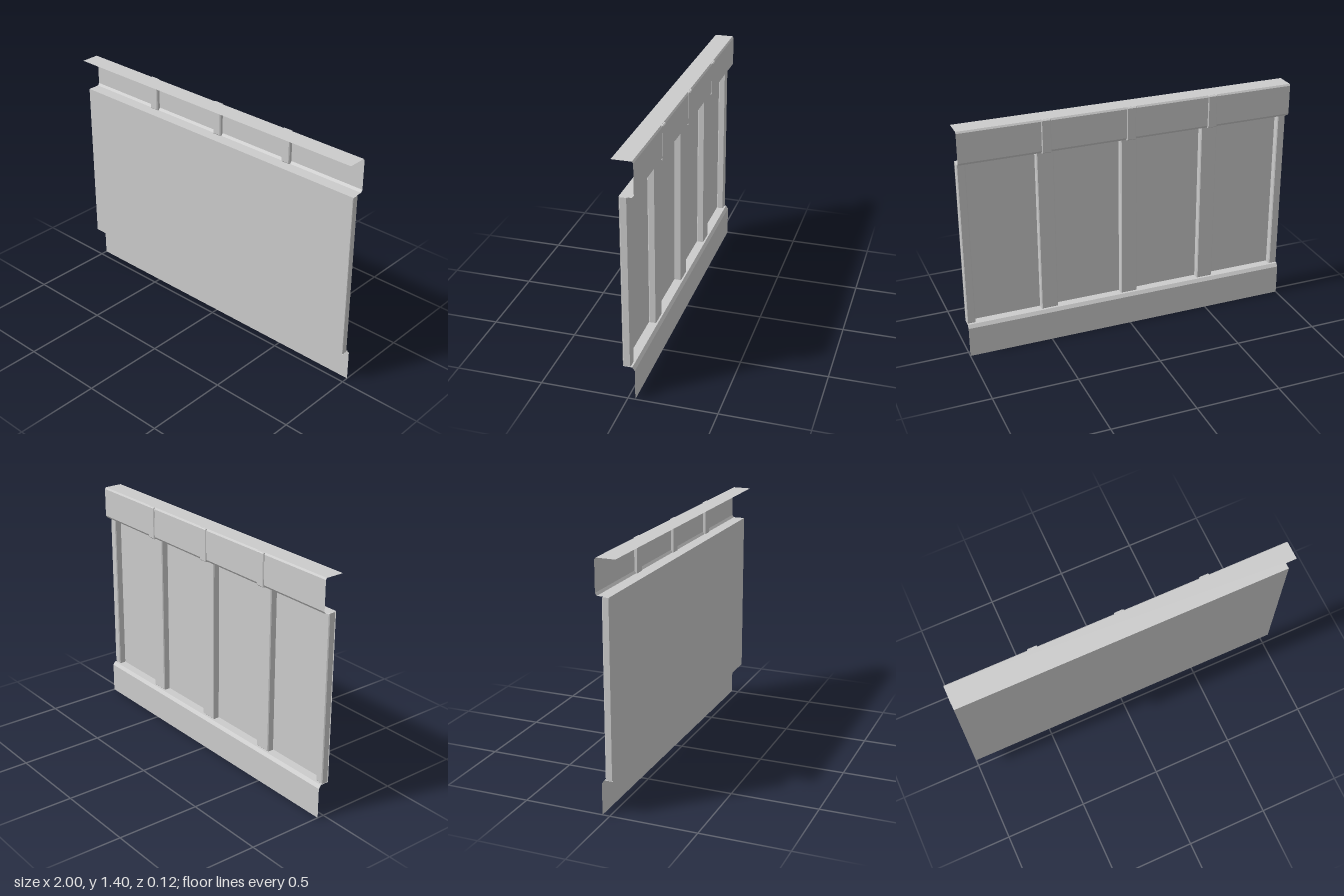
import * as THREE from 'three';

const grey = new THREE.MeshStandardMaterial({ color: 0xcccccc, flatShading: true });
const sheetGrey = new THREE.MeshStandardMaterial({ color: 0xcccccc, flatShading: true, side: THREE.DoubleSide });

// Box with chamfered edges, given by its lower and upper corners
function chamferBox(name, [x0, y0, z0], [x1, y1, z1], c = 0.005) {
  const s = new THREE.Shape();
  s.moveTo(x0 + c, y0 + c);
  s.lineTo(x1 - c, y0 + c);
  s.lineTo(x1 - c, y1 - c);
  s.lineTo(x0 + c, y1 - c);
  s.closePath();
  const g = new THREE.ExtrudeGeometry(s, {
    depth: z1 - z0 - 2 * c, bevelEnabled: true, bevelThickness: c, bevelSize: c, bevelSegments: 1,
  });
  g.translate(0, 0, z0 + c);
  const mesh = new THREE.Mesh(g, grey);
  mesh.name = name;
  return mesh;
}

// Thin folded sheet: a [z, y] profile swept along x
function foldedSheet(name, profile, halfWidth) {
  const pos = [], index = [];
  profile.forEach(([z, y], i) => {
    pos.push(-halfWidth, y, z, halfWidth, y, z);
    if (i) {
      const a = 2 * i - 2;
      index.push(a, a + 2, a + 1, a + 1, a + 2, a + 3);
    }
  });
  const g = new THREE.BufferGeometry();
  g.setAttribute('position', new THREE.Float32BufferAttribute(pos, 3));
  g.setIndex(index);
  const flat = g.toNonIndexed();
  flat.computeVertexNormals();
  const mesh = new THREE.Mesh(flat, sheetGrey);
  mesh.name = name;
  return mesh;
}

export function createModel() {
  const model = new THREE.Group();
  model.name = 'wallPanel';

  // Top flange, upper band, ledge, main panel, lower ledge and skirt
  model.add(foldedSheet('foldedPanel', [
    [0.06, 1.4], [-0.049, 1.4], [-0.056, 1.39],
    [-0.056, 1.218], [-0.046, 1.204], [0.024, 1.204],
    [0.024, 0.202], [-0.028, 0.202], [-0.042, 0.182], [-0.042, 0],
  ], 1));

  // Studs behind the main panel: full width inside, half width at the ends
  for (const x of [-1, -0.5, 0, 0.5, 1]) {
    const left = Math.max(x - 0.05, -1), right = Math.min(x + 0.05, 1);
    model.add(chamferBox('stud', [left, 0.204, -0.021], [right, 1.2, 0.023]));
  }

  // Short ribs through the upper band
  for (const x of [-0.5, 0, 0.5]) {
    model.add(chamferBox('upperRib', [x - 0.028, 1.204, -0.062], [x + 0.028, 1.399, -0.035]));
  }
  return model;
}
